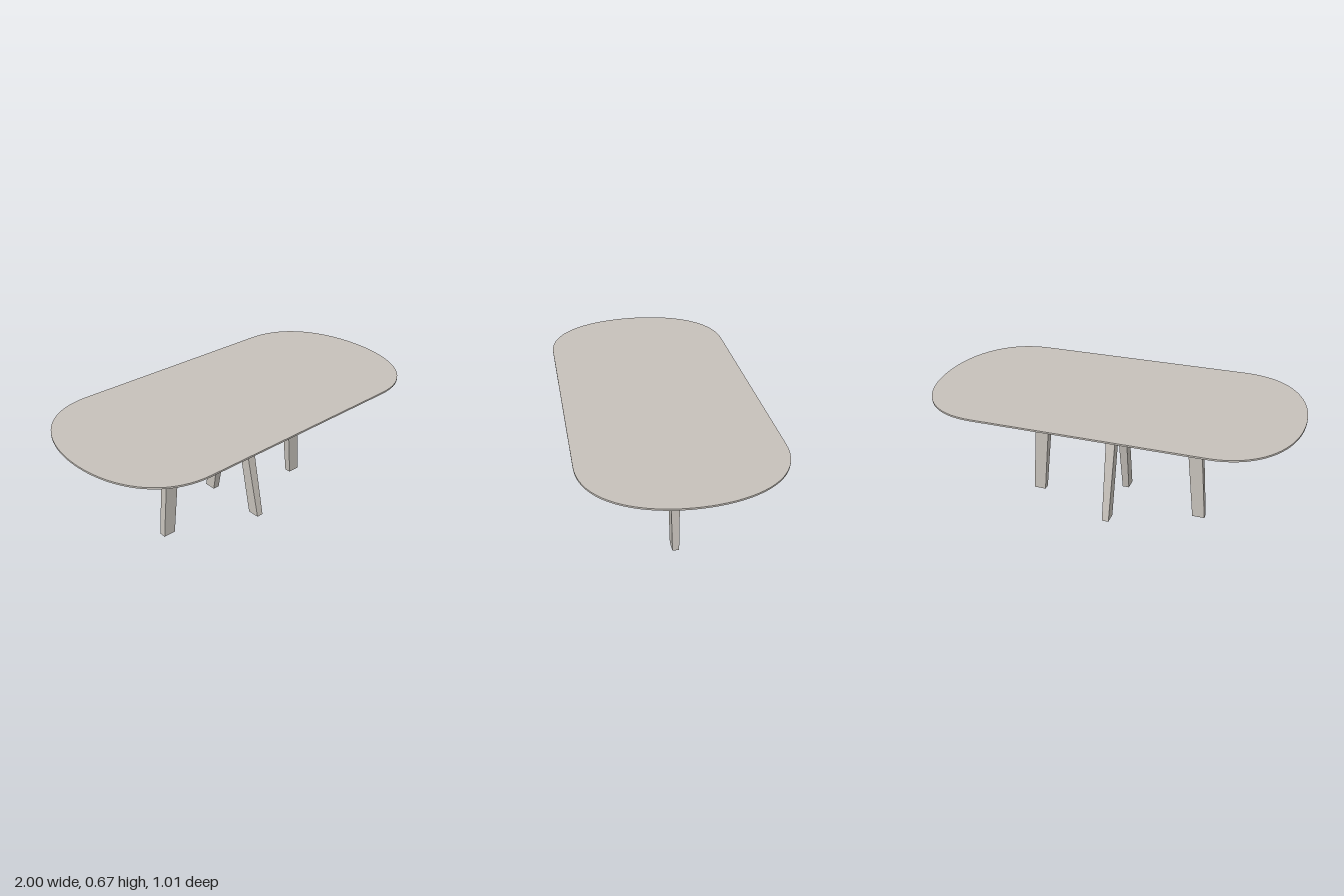
import * as THREE from 'three';

const finish = new THREE.MeshStandardMaterial({ color: 0xc6c1ba });
finish.name = 'warm grey finish';

// Soft oblong outline: straight long sides, rounded ends
function outline(length, depth, straight, pullX, pullZ) {
  const s = new THREE.Shape();
  s.moveTo(length, 0);
  s.bezierCurveTo(length, pullZ, pullX, depth, straight, depth);
  s.lineTo(-straight, depth);
  s.bezierCurveTo(-pullX, depth, -length, pullZ, -length, 0);
  s.bezierCurveTo(-length, -pullZ, -pullX, -depth, -straight, -depth);
  s.lineTo(straight, -depth);
  s.bezierCurveTo(pullX, -depth, length, -pullZ, length, 0);
  return s;
}

// Band joining two outlines at different heights
function band(lower, y0, upper, y1) {
  const a = lower.getPoints(20), b = upper.getPoints(20);
  const n = a.length - 1;
  const pos = [], index = [];
  for (let i = 0; i < n; i++) {
    pos.push(a[i].x, y0, -a[i].y, b[i].x, y1, -b[i].y);
    const p = 2 * i, q = 2 * ((i + 1) % n);
    index.push(p, q, q + 1, p, q + 1, p + 1);
  }
  const g = new THREE.BufferGeometry();
  g.setAttribute('position', new THREE.Float32BufferAttribute(pos, 3));
  g.setIndex(index);
  g.computeVertexNormals();
  return g;
}

// Four-sided post between two rectangles given as [x0, x1, z0, z1]
function post(foot, head, height) {
  const g = new THREE.BoxGeometry(1, 1, 1).toNonIndexed();
  const p = g.attributes.position;
  for (let i = 0; i < p.count; i++) {
    const top = p.getY(i) > 0;
    const r = top ? head : foot;
    p.setXYZ(i, r[p.getX(i) > 0 ? 1 : 0], top ? height : 0, r[p.getZ(i) > 0 ? 3 : 2]);
  }
  g.computeVertexNormals();
  return g;
}

export function createModel() {
  const model = new THREE.Group();
  model.name = 'table';
  const add = (parent, name, geometry) => {
    const m = new THREE.Mesh(geometry, finish);
    m.name = name;
    parent.add(m);
    return m;
  };

  // Tabletop with a thin rim and a wide bevel underneath
  const topY = 0.667, rimY = 0.658, underY = 0.627;
  const wide = outline(1, 0.507, 0.6, 0.87, 0.27);
  const narrow = outline(0.92, 0.428, 0.57, 0.81, 0.22);
  const top = new THREE.Group();
  top.name = 'tabletop';
  model.add(top);
  add(top, 'topSurface', new THREE.ShapeGeometry(wide, 20).rotateX(-Math.PI / 2).translate(0, topY, 0));
  add(top, 'rim', band(wide, rimY, wide, topY));
  add(top, 'underBevel', band(narrow, underY, wide, rimY));
  add(top, 'underside', new THREE.ShapeGeometry(narrow, 20).rotateX(Math.PI / 2).translate(0, underY, 0));

  // Base of four splayed legs, set very slightly off centre
  const base = new THREE.Group();
  base.name = 'base';
  base.position.set(-0.012, 0, -0.002);
  model.add(base);
  const sides = [['left', 'front', 1], ['right', 'back', -1]];
  for (const [sideName, endName, s] of sides) {
    const span = (a, b) => (s > 0 ? [a, b] : [-b, -a]);
    add(base, sideName + 'Leg',
      post([...span(0.443, 0.512), -0.018, 0.018], [...span(0.381, 0.461), -0.028, 0.028], underY));
    add(base, endName + 'Leg',
      post([-0.019, 0.019, ...span(0.152, 0.221)], [-0.028, 0.028, ...span(0.033, 0.088)], underY));
  }

  // Flat rails joining the leg heads
  add(base, 'longRail', new THREE.BoxGeometry(0.79, 0.027, 0.055)).position.y = 0.6135;
  add(base, 'crossRail', new THREE.BoxGeometry(0.055, 0.027, 0.09)).position.y = 0.6135;

  return model;
}
